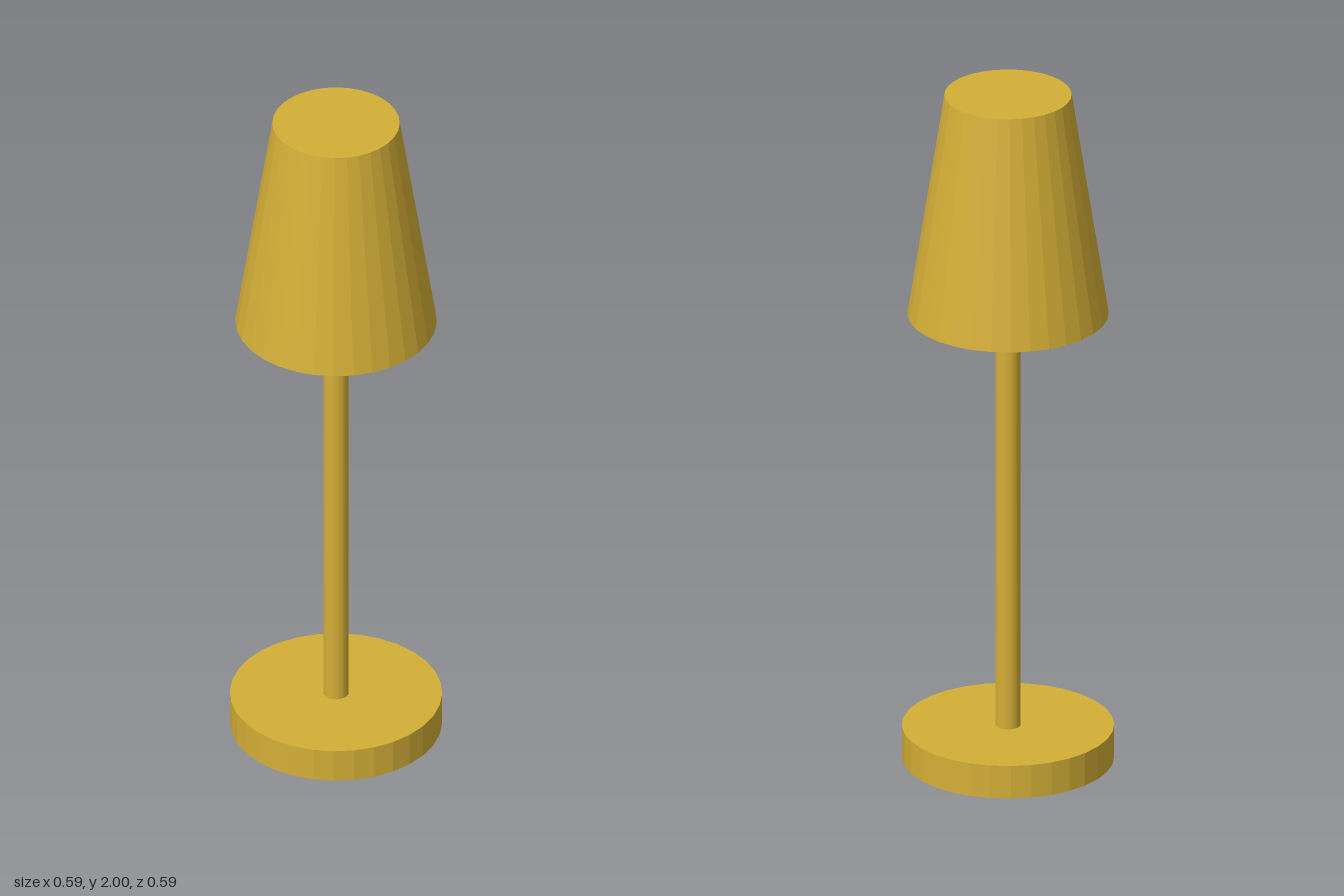
import * as THREE from 'three';

export function createModel() {
  const gold = new THREE.MeshStandardMaterial({ color: 0xd4af37, flatShading: true });
  gold.name = 'gold';
  const lamp = new THREE.Group();
  lamp.name = 'tableLamp';

  // Adds one closed round section standing between two heights
  const addRound = (name, topRadius, bottomRadius, bottom, top) => {
    const geometry = new THREE.CylinderGeometry(topRadius, bottomRadius, top - bottom, 32);
    const mesh = new THREE.Mesh(geometry, gold);
    mesh.name = name;
    mesh.position.y = (bottom + top) / 2;
    lamp.add(mesh);
  };

  addRound('base', 0.295, 0.295, 0, 0.098);
  addRound('stem', 0.035, 0.035, 0.098, 1.34);
  addRound('shade', 0.177, 0.28, 1.34, 2);

  return lamp;
}
